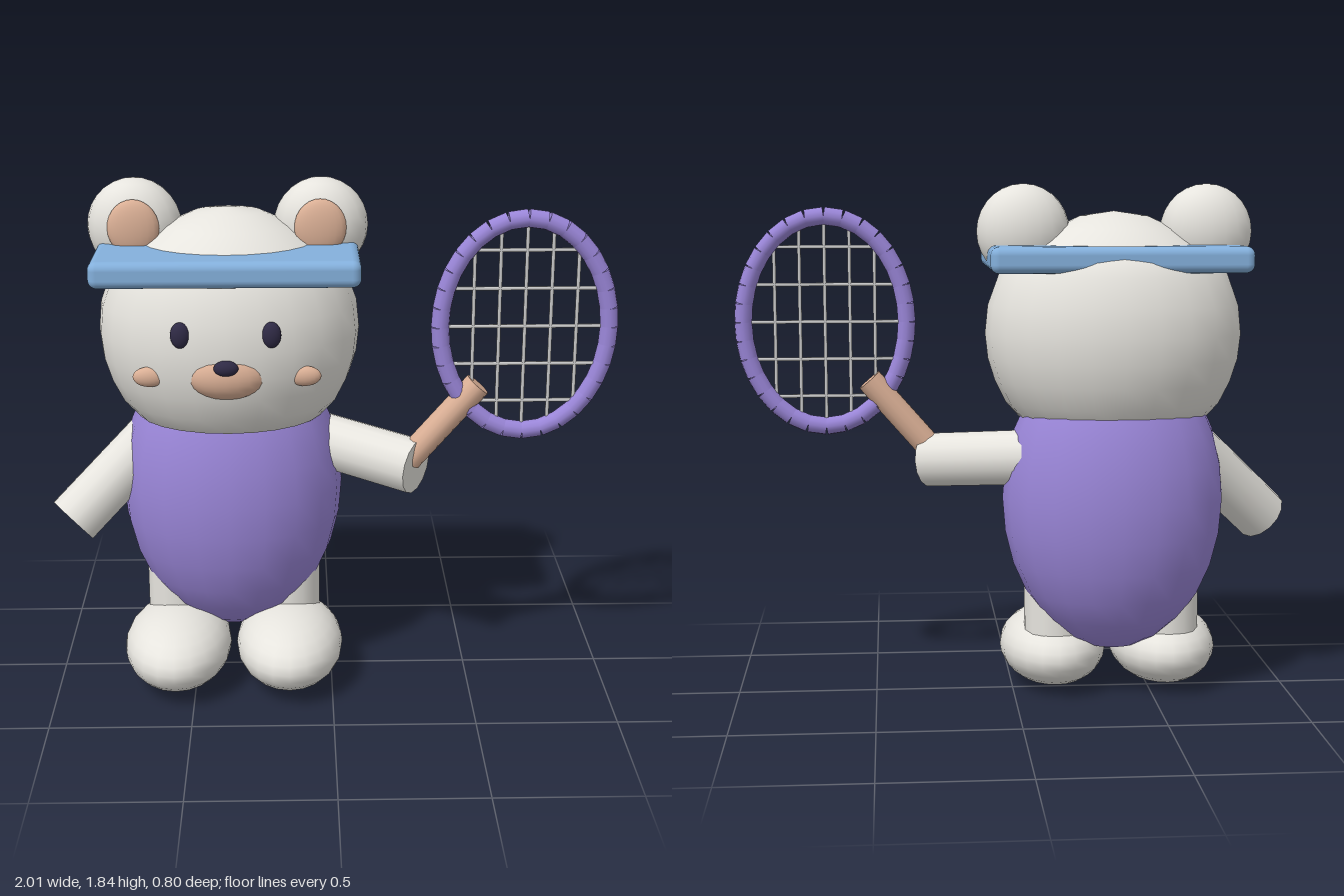
import * as THREE from 'three';
import { RoundedBoxGeometry } from 'three/addons/geometries/RoundedBoxGeometry.js';

const material = (color) => new THREE.MeshStandardMaterial({ color });
const CENTER_X = -0.36; // symmetry plane of the bear
const UP = new THREE.Vector3(0, 1, 0);

export function createModel() {
  const model = new THREE.Group();
  const fur = material(0xe6e4de);
  const purple = material(0x9a86d8);
  const peach = material(0xdbb096);
  const blue = material(0x84b0dc);
  const dark = material(0x2f2a45);
  const grey = material(0xcccccc);

  function add(parent, name, geometry, mat, x = 0, y = 0, z = 0) {
    const mesh = new THREE.Mesh(geometry, mat);
    mesh.name = name;
    mesh.position.set(x, y, z);
    parent.add(mesh);
    return mesh;
  }

  function ellipsoid(parent, name, mat, [x, y, z], [rx, ry, rz]) {
    const geometry = new THREE.SphereGeometry(1, 20, 14).scale(rx, ry, rz);
    return add(parent, name, geometry, mat, x, y, z);
  }

  // Cylinder between two points
  function rod(parent, name, mat, from, to, radius, sides = 14) {
    const a = new THREE.Vector3(...from);
    const b = new THREE.Vector3(...to);
    const dir = b.clone().sub(a);
    const mesh = add(parent, name, new THREE.CylinderGeometry(radius, radius, dir.length(), sides), mat);
    mesh.position.copy(a).add(b).multiplyScalar(0.5);
    mesh.quaternion.setFromUnitVectors(UP, dir.normalize());
    return mesh;
  }

  // Torso
  ellipsoid(model, 'torso', purple, [CENTER_X, 0.73, -0.05], [0.4, 0.56, 0.32]);

  // Head: turned profile with full cheeks, flattened front to back
  const head = new THREE.Group();
  head.name = 'head';
  model.add(head);
  const profile = [
    [0, 0.975], [0.22, 0.985], [0.33, 1.01], [0.385, 1.07], [0.425, 1.15],
    [0.45, 1.23], [0.46, 1.32], [0.45, 1.42], [0.41, 1.53], [0.36, 1.585],
    [0.295, 1.64], [0.22, 1.69], [0.12, 1.735], [0, 1.752],
  ].map(([r, y]) => new THREE.Vector2(r, y));
  const skull = new THREE.LatheGeometry(profile, 24).scale(1, 1, 0.835);
  add(head, 'skull', skull, fur, CENTER_X, 0, -0.015);

  // Face centre
  ellipsoid(head, 'muzzle', peach, [CENTER_X, 1.235, 0.32], [0.133, 0.08, 0.065]);
  ellipsoid(head, 'nose', dark, [CENTER_X, 1.278, 0.372], [0.042, 0.027, 0.025]);

  // Mirrored parts of head and legs
  for (const side of [-1, 1]) {
    const label = side > 0 ? 'left' : 'right';
    const at = (offset) => CENTER_X + side * offset;
    ellipsoid(head, label + 'Ear', fur, [at(0.326), 1.68, -0.045], [0.165, 0.168, 0.122]);
    ellipsoid(head, label + 'InnerEar', peach, [at(0.322), 1.69, 0.058], [0.09, 0.1, 0.034]);
    ellipsoid(head, label + 'Eye', dark, [at(0.153), 1.385, 0.34], [0.033, 0.045, 0.024]);
    ellipsoid(head, label + 'Cheek', peach, [at(0.264), 1.225, 0.285], [0.057, 0.035, 0.025]);
    rod(model, label + 'Leg', fur, [at(0.205), 0.14, -0.025], [at(0.205), 0.45, -0.025], 0.115);
    ellipsoid(model, label + 'Foot', fur, [at(0.205), 0.147, 0.1], [0.195, 0.14, 0.303]);
  }

  // Rectangular visor around the crown
  add(head, 'visor', new RoundedBoxGeometry(0.91, 0.092, 0.66, 3, 0.03), blue, CENTER_X, 1.588, 0.02);

  // Arms: one hanging, one reaching out with the racket
  rod(model, 'rightArm', fur, [-0.6, 0.945, -0.08], [-0.935, 0.625, 0.085], 0.098);
  rod(model, 'leftArm', fur, [-0.1, 0.885, -0.11], [0.3, 0.84, 0.135], 0.1);

  // Racket
  const racket = new THREE.Group();
  racket.name = 'racket';
  racket.position.set(0.672, 1.352, 0.122);
  model.add(racket);
  rod(racket, 'handle', peach, [-0.4, -0.49, -0.005], [-0.157, -0.212, -0.005], 0.048);

  // Rim of short segments along an ellipse
  const rx = 0.295, ry = 0.381, segments = 32;
  const rimPoints = new THREE.EllipseCurve(0, 0, rx, ry).getSpacedPoints(segments);
  for (let i = 0; i < segments; i++) {
    const a = rimPoints[i], b = rimPoints[i + 1];
    rod(racket, 'rimSegment', purple, [a.x, a.y, 0], [b.x, b.y, 0], 0.032, 12);
  }

  // Strings cut to the chord of the rim
  for (let i = -2; i <= 2; i++) {
    const x = i * 0.09, y = i * 0.135;
    const h = ry * Math.sqrt(1 - (x / rx) ** 2);
    const w = rx * Math.sqrt(1 - (y / ry) ** 2);
    rod(racket, 'verticalString', grey, [x, -h, 0], [x, h, 0], 0.007, 6);
    rod(racket, 'horizontalString', grey, [-w, y, 0], [w, y, 0], 0.007, 6);
  }

  return model;
}
